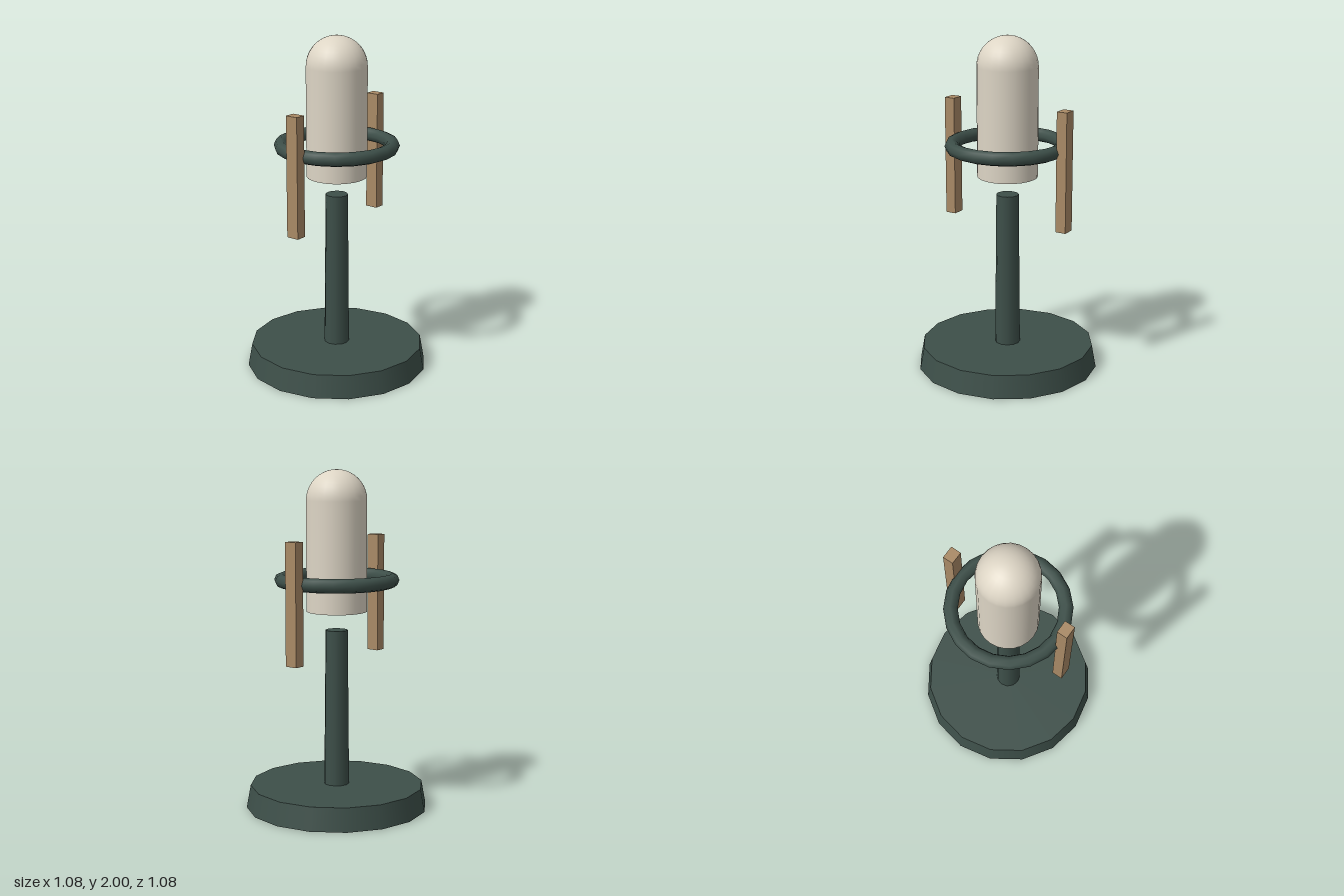
import * as THREE from 'three';

const green = new THREE.MeshStandardMaterial({ color: 0x3d4f49 });
green.name = 'dark green';
const cream = new THREE.MeshStandardMaterial({ color: 0xddd5c5 });
cream.name = 'cream';
const wood = new THREE.MeshStandardMaterial({ color: 0xa98a66 });
wood.name = 'wood';

export function createModel() {
  const model = new THREE.Group();
  model.name = 'stand';

  const add = (name, geometry, material, x, y) => {
    const mesh = new THREE.Mesh(geometry, material);
    mesh.name = name;
    mesh.position.set(x, y, 0);
    model.add(mesh);
    return mesh;
  };

  // Weighted foot and tapering post
  add('base', new THREE.CylinderGeometry(0.515, 0.54, 0.136, 16), green, 0, 0.068);
  add('post', new THREE.CylinderGeometry(0.066, 0.075, 0.928, 12), green, 0, 0.6);

  // Capsule head: closed cylinder with a half-sphere dome
  const r = 0.178;
  add('headBody', new THREE.CylinderGeometry(r, r, 0.647, 24), cream, 0, 1.4985);
  add('headDome', new THREE.SphereGeometry(r, 24, 10, 0, Math.PI * 2, 0, Math.PI / 2), cream, 0, 1.822);

  // Horizontal ring around the head
  const ring = new THREE.TorusGeometry(0.325, 0.041, 8, 20).rotateX(Math.PI / 2);
  add('ring', ring, green, 0, 1.36);

  // Upright bar on each side of the ring
  for (const side of [1, -1]) {
    add(side > 0 ? 'leftBar' : 'rightBar', new THREE.BoxGeometry(0.064, 0.706, 0.077), wood, side * 0.378, 1.252);
  }
  return model;
}
